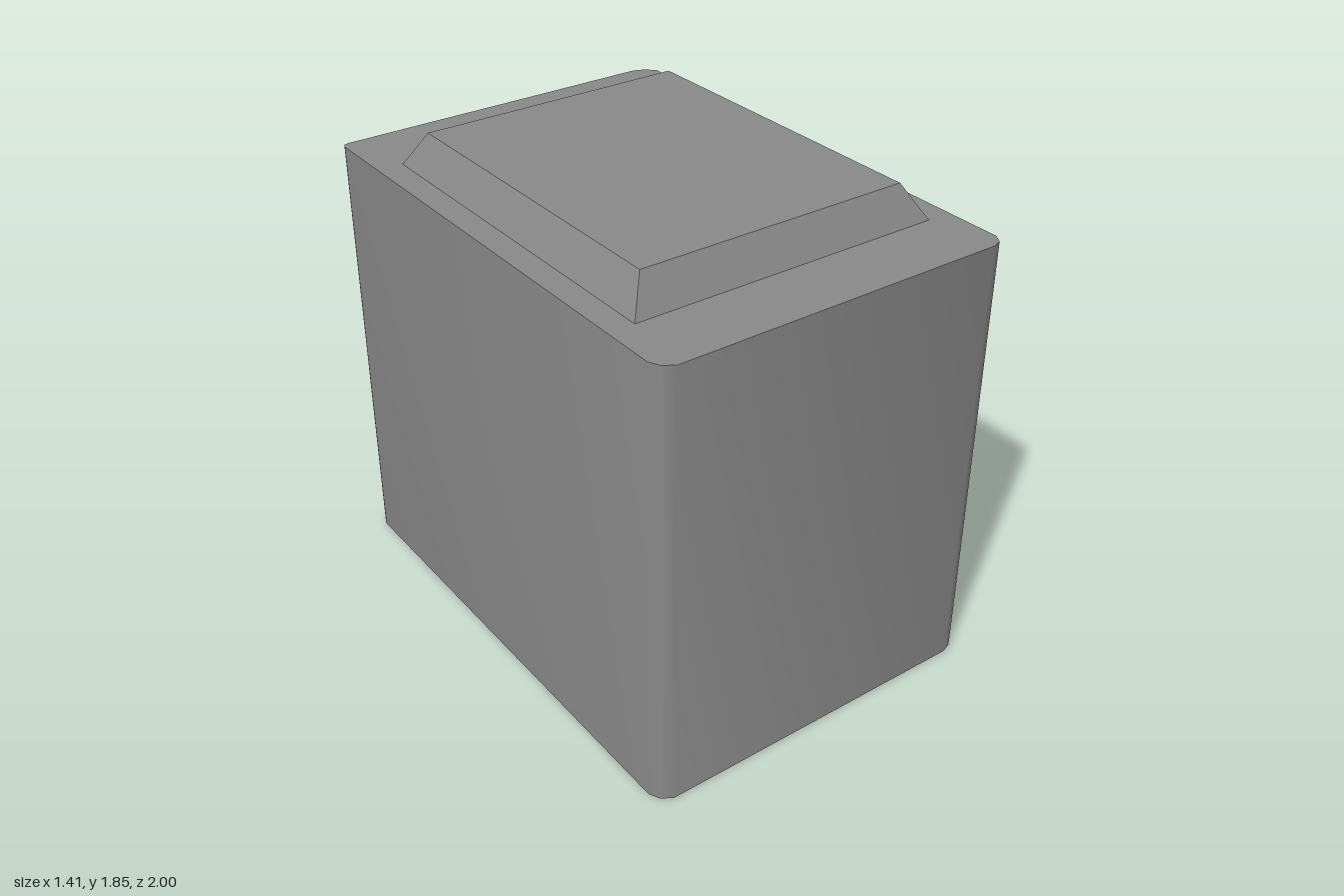
import * as THREE from 'three';
import { toCreasedNormals } from 'three/addons/utils/BufferGeometryUtils.js';

const material = new THREE.MeshStandardMaterial({ color: 0x888888 });
const X0 = -0.71, X1 = 0.69, ROOF = 1.72;
const SLOT_X0 = -0.615, SLOT_X1 = 0.595, SLOT_DEPTH = 0.04, SLOT_HEIGHT = 0.095;
const SLOT_BOTTOMS = [0.18, 0.515, 0.855, 1.172, 1.482];

function add(parent, name, geometry) {
  const mesh = new THREE.Mesh(toCreasedNormals(geometry, 0.75), material);
  mesh.name = name;
  parent.add(mesh);
  return mesh;
}

// Plan outline as x, -z: eased corners and a shallow notch along the back
function bodyPlan() {
  return new THREE.Shape([
    [X0 + 0.06, -1], [X1 - 0.06, -1],
    [X1 - 0.02, -0.985], [X1, -0.95],
    [X1, 0.945], [X1 - 0.035, 0.982], [X1 - 0.08, 1],
    [SLOT_X1, 1], [SLOT_X1, 1 - SLOT_DEPTH], [SLOT_X0, 1 - SLOT_DEPTH], [SLOT_X0, 1],
    [X0 + 0.025, 1], [X0 + 0.007, 0.993], [X0, 0.975],
    [X0, -0.935], [X0 + 0.02, -0.975],
  ].map(([x, y]) => new THREE.Vector2(x, y)));
}

// Upside-down U frame on the left wall
function archGeometry({ zFront, zBack, bottom, top, leg, head, r }) {
  const a = -zFront, b = -zBack, c = 0.022, inner = top - head;
  const s = new THREE.Shape();
  s.moveTo(a, bottom);
  s.lineTo(a + leg, bottom);
  s.lineTo(a + leg, inner - c);
  s.lineTo(a + leg + c, inner);
  s.lineTo(b - leg - c, inner);
  s.lineTo(b - leg, inner - c);
  s.lineTo(b - leg, bottom);
  s.lineTo(b, bottom);
  s.lineTo(b, top - r);
  s.quadraticCurveTo(b, top, b - r, top);
  s.lineTo(a + r, top);
  s.quadraticCurveTo(a, top, a, top - r);
  const g = new THREE.ExtrudeGeometry(s, {
    depth: 0.02, bevelEnabled: true, bevelThickness: 0.008, bevelSize: 0.008,
    bevelOffset: -0.008, bevelSegments: 1, curveSegments: 5,
  });
  g.rotateY(Math.PI / 2);
  g.translate(0.675, 0, 0);
  return g;
}

// Raised roof block: a box whose top corners are drawn in
function roofGeometry() {
  const g = new THREE.BoxGeometry(1, 1, 1);
  const p = g.attributes.position;
  for (let i = 0; i < p.count; i++) {
    const up = p.getY(i) > 0;
    const x = p.getX(i) > 0 ? (up ? 0.52 : 0.595) : (up ? -0.54 : -0.612);
    const z = p.getZ(i) > 0 ? (up ? 0.66 : 0.735) : (up ? -0.635 : -0.71);
    p.setXYZ(i, x, up ? 1.848 : ROOF, z);
  }
  return g;
}

export function createModel() {
  const model = new THREE.Group();
  model.name = 'building';

  const body = new THREE.ExtrudeGeometry(bodyPlan(), { depth: ROOF, bevelEnabled: false });
  body.rotateX(-Math.PI / 2);
  add(model, 'walls', body);
  add(model, 'raisedRoof', roofGeometry());

  // Wall bands between the recessed slots on the back
  const bands = new THREE.Group();
  bands.name = 'backWallBands';
  model.add(bands);
  for (let i = 0; i <= SLOT_BOTTOMS.length; i++) {
    const y0 = i === 0 ? 0 : SLOT_BOTTOMS[i - 1] + SLOT_HEIGHT;
    const y1 = i === SLOT_BOTTOMS.length ? ROOF : SLOT_BOTTOMS[i];
    const band = add(bands, 'backWallBand', new THREE.BoxGeometry(SLOT_X1 - SLOT_X0, y1 - y0, SLOT_DEPTH));
    band.position.set((SLOT_X0 + SLOT_X1) / 2, (y0 + y1) / 2, -1 + SLOT_DEPTH / 2);
  }

  // Window and door frames on the left wall
  add(model, 'windowFrame', archGeometry(
    { zFront: 0.212, zBack: -0.2, bottom: 0.925, top: 1.405, leg: 0.027, head: 0.032, r: 0.03 }));
  add(model, 'doorFrame', archGeometry(
    { zFront: 0.325, zBack: -0.31, bottom: 0, top: 0.473, leg: 0.047, head: 0.04, r: 0.045 }));

  // Fine wavy seam where the door leaves meet
  const seam = new THREE.CatmullRomCurve3(
    [[0, 0], [0.1, 0.008], [0.2, -0.012], [0.3, 0.012], [0.37, 0], [0.435, 0]]
      .map(([y, z]) => new THREE.Vector3(X1, y, z)));
  add(model, 'doorSeam', new THREE.TubeGeometry(seam, 24, 0.0015, 5));

  return model;
}
